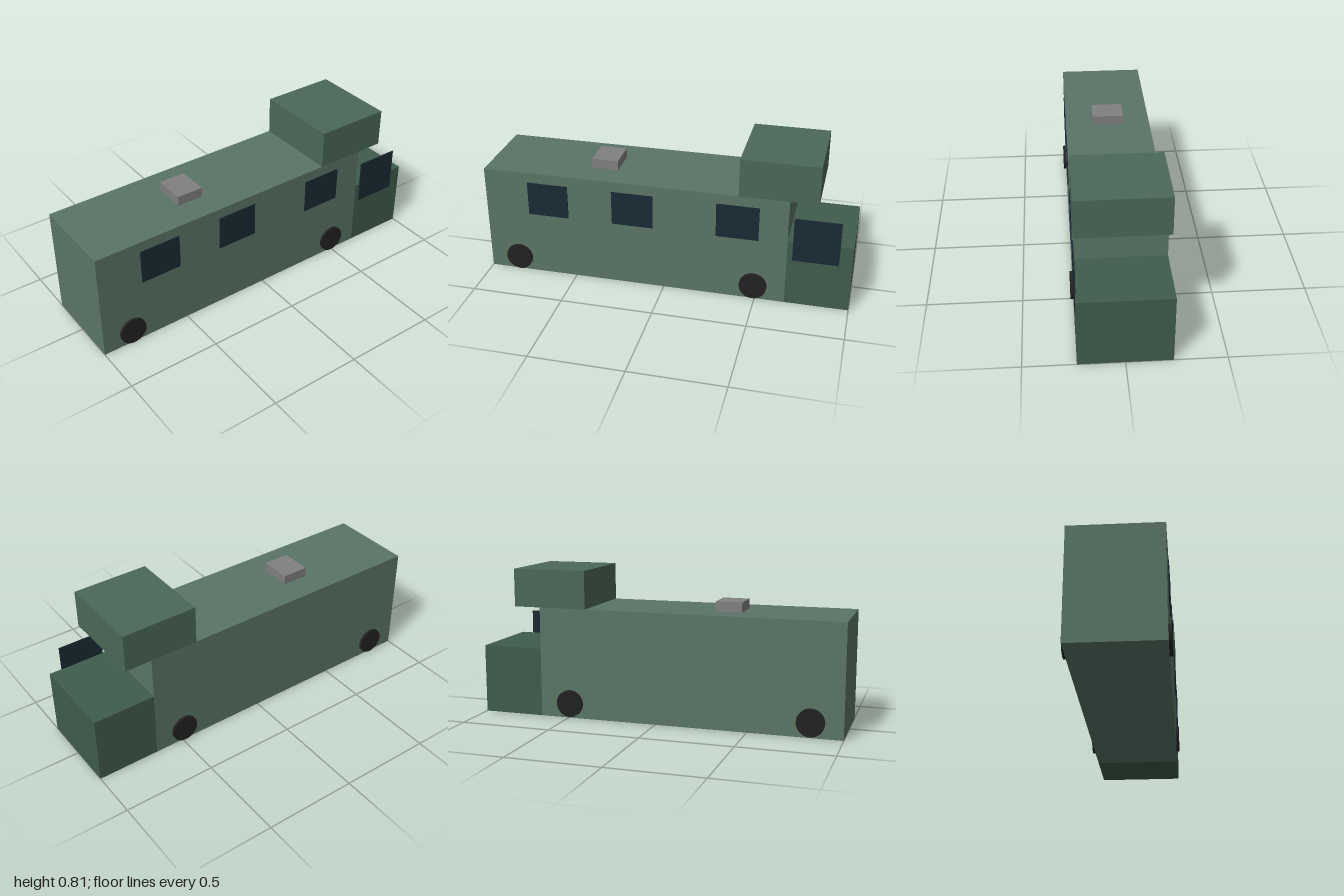
import * as THREE from 'three';

const material = (color) => new THREE.MeshStandardMaterial({ color });

export function createModel() {
  const model = new THREE.Group();
  model.name = 'camperVan';

  const bodyPaint = material(0x5a7566);
  const bunkPaint = material(0x4b6857);
  const cabPaint = material(0x405c4b);
  const ventGrey = material(0x808080);
  const glass = material(0x1a2a35);
  const rubber = material(0x222222);

  // Box given by its limits on each axis
  function block(name, mat, [x0, x1], [y0, y1], [z0, z1]) {
    const mesh = new THREE.Mesh(new THREE.BoxGeometry(x1 - x0, y1 - y0, z1 - z0), mat);
    mesh.position.set((x0 + x1) / 2, (y0 + y1) / 2, (z0 + z1) / 2);
    mesh.name = name;
    model.add(mesh);
  }

  // Living body, low cab and the bunk that overhangs it
  const width = [-0.235, 0.235];
  block('body', bodyPaint, width, [0, 0.604], [-0.66, 1]);
  block('cab', cabPaint, width, [0, 0.376], [-1, -0.66]);
  block('overcabBunk', bunkPaint, width, [0.604, 0.811], [-0.808, -0.396]);

  // Roof vent
  block('roofVent', ventGrey, [-0.085, 0.085], [0.604, 0.657], [0.288, 0.433]);

  // Thin window panes along one side
  const pane = [0.232, 0.239];
  for (const z of [0.643, 0.172, -0.395]) {
    block('sideWindow', glass, pane, [0.358, 0.548], [z - 0.113, z + 0.113]);
  }
  block('cabWindow', glass, pane, [0.265, 0.51], [-0.931, -0.689]);

  // Wheels, half sunk into the body sides
  const wheelShape = new THREE.CylinderGeometry(0.074, 0.074, 0.03, 32).rotateZ(Math.PI / 2);
  for (const [end, z] of [['rear', -0.489], ['front', 0.831]]) {
    for (const side of [-1, 1]) {
      const wheel = new THREE.Mesh(wheelShape, rubber);
      wheel.name = end + (side > 0 ? 'LeftWheel' : 'RightWheel');
      wheel.position.set(side * 0.235, 0.081, z);
      model.add(wheel);
    }
  }

  return model;
}
